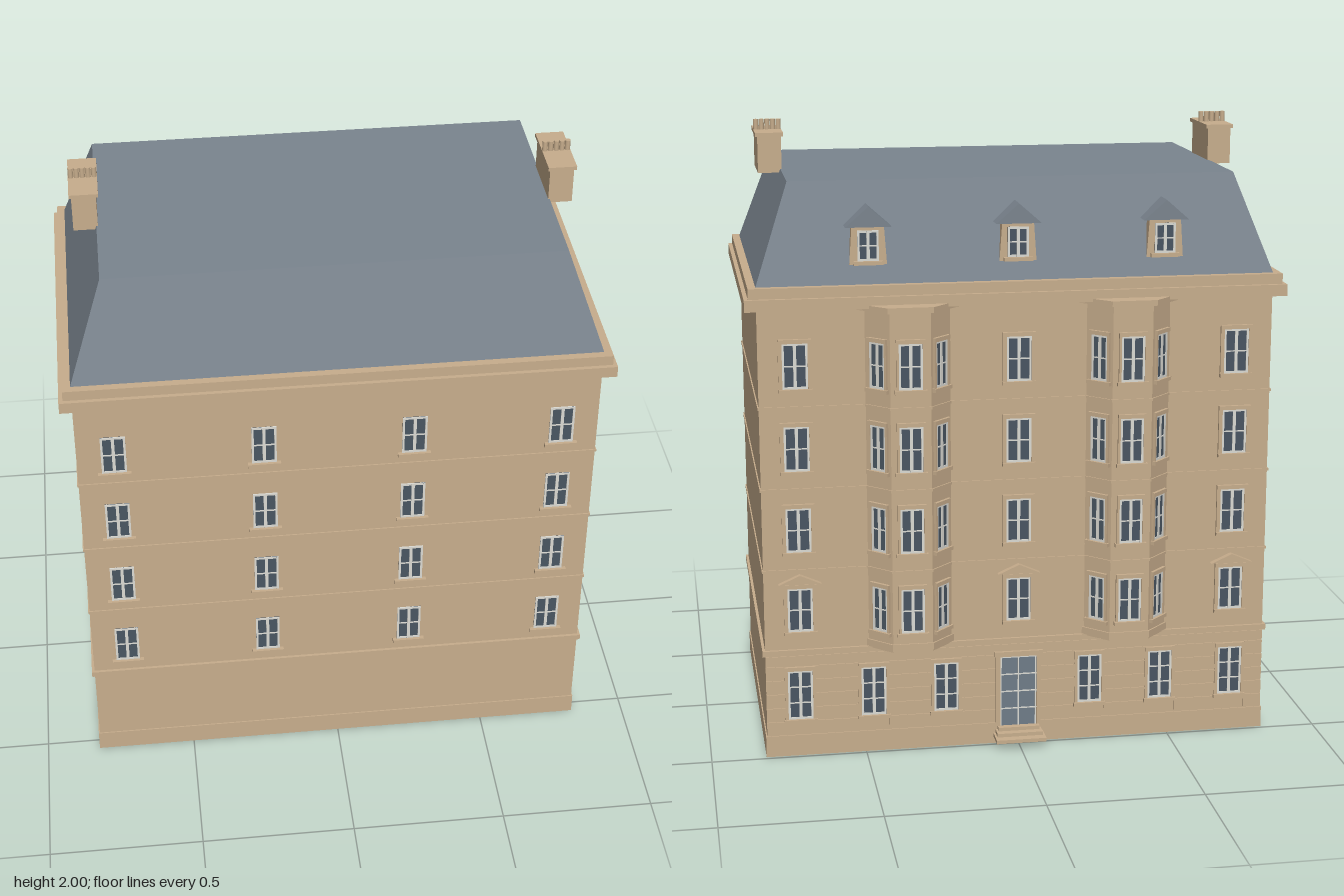
import * as THREE from 'three';

const mat = (name, color) => {
  const m = new THREE.MeshStandardMaterial({ color });
  m.name = name;
  return m;
};

export function createModel() {
  const stone = mat('stone', 0xc8ae8d);
  const slate = mat('slate', 0x7b858f);
  const glass = mat('glass', 0x4a5662);
  const white = mat('window frame', 0xdcdbd4);
  const doorPaint = mat('door paint', 0x707d89);

  const model = new THREE.Group();
  model.name = 'townhouse';

  const add = (parent, name, geometry, material) => {
    const mesh = new THREE.Mesh(geometry, material);
    mesh.name = name;
    parent.add(mesh);
    return mesh;
  };
  // Box given by its low and high corners
  const box = (parent, name, material, [x0, y0, z0], [x1, y1, z1]) => {
    const g = new THREE.BoxGeometry(x1 - x0, y1 - y0, z1 - z0);
    g.translate((x0 + x1) / 2, (y0 + y1) / 2, (z0 + z1) / 2);
    return add(parent, name, g, material);
  };
  const group = (name, x, y, z, turn = 0) => {
    const g = new THREE.Group();
    g.name = name;
    g.position.set(x, y, z);
    g.rotation.y = turn;
    model.add(g);
    return g;
  };
  const prism = (points, depth) => new THREE.ExtrudeGeometry(
    new THREE.Shape(points.map(p => new THREE.Vector2(...p))), { depth, bevelEnabled: false });

  // Outer walls and the mouldings that run round them
  const X = 0.82, BACK = -0.485, FRONT = 0.535;
  const ring = (name, y0, y1, out) => box(model, name, stone,
    [-X - out, y0, BACK - out], [X + out, y1, FRONT + out]);
  ring('walls', 0, 1.5, 0);
  ring('plinth', 0, 0.07, 0.004);
  ring('mainStringCourse', 0.343, 0.362, 0.009);
  for (const y of [0.622, 0.888, 1.153]) ring('stringCourse', y, y + 0.008, 0.004);
  ring('lowerCornice', 1.47, 1.507, 0.038);
  ring('upperCornice', 1.507, 1.54, 0.025);

  // Mansard roof: a box whose top is drawn in
  const roof = new THREE.BoxGeometry(2 * X, 0.31, FRONT - BACK);
  const rp = roof.attributes.position;
  for (let i = 0; i < rp.count; i++) {
    if (rp.getY(i) > 0) rp.setXYZ(i, Math.sign(rp.getX(i)) * 0.71, rp.getY(i), Math.sign(rp.getZ(i)) * 0.403);
  }
  roof.computeVertexNormals();
  roof.translate(0, 1.695, 0.025);
  add(model, 'mansardRoof', roof, slate);

  // Chimneys with a row of pots
  for (const s of [-1, 1]) {
    const c = group('chimney', s * 0.743, 0, 0.025);
    box(c, 'chimneyStack', stone, [-0.038, 1.838, -0.103], [0.038, 1.957, 0.103]);
    box(c, 'chimneyCap', stone, [-0.045, 1.955, -0.11], [0.045, 1.967, 0.11]);
    for (let i = -2; i <= 2; i++) {
      const pot = new THREE.CylinderGeometry(0.0085, 0.0085, 0.035, 10);
      add(c, 'chimneyPot', pot.translate(i * 0.018, 1.9825, 0), stone);
    }
  }

  // Window facing +z, standing on the origin, with optional stone surround
  const makeWindow = (g, w, h, rows, { surround = 0, sill = true } = {}) => {
    const a = w / 2, t = 0.007;
    box(g, 'windowGlass', glass, [-a, 0, -0.002], [a, h, 0.002]);
    for (const s of [-1, 1]) {
      box(g, 'frameSide', white, [s * (a - t / 2) - t / 2, 0, -0.001], [s * (a - t / 2) + t / 2, h, 0.005]);
    }
    box(g, 'centreMullion', white, [-0.005, 0, -0.001], [0.005, h, 0.005]);
    for (let i = 0; i <= rows; i++) {
      const bar = i === 0 || i === rows ? t : 0.004;
      const y = bar / 2 + (h - bar) * i / rows;
      box(g, 'frameBar', white, [-a, y - bar / 2, -0.001], [a, y + bar / 2, 0.0045]);
    }
    if (sill) box(g, 'sill', stone, [-a - 0.013, -0.012, -0.002], [a + 0.013, 0, 0.014]);
    if (surround) {
      for (const s of [-1, 1]) {
        const e = s * (a + surround / 2);
        box(g, 'jamb', stone, [e - surround / 2, 0, -0.002], [e + surround / 2, h, 0.008]);
      }
      box(g, 'lintel', stone, [-a - surround, h, -0.002], [a + surround, h + 0.013, 0.01]);
    }
  };

  // Plain side: four windows on each of four floors
  const floors = [0, 1, 2, 3].map(i => 0.407 + i * 0.265);
  for (const y of floors) {
    for (const x of [-0.705, -0.237, 0.237, 0.705]) {
      makeWindow(group('plainWindow', x, y, FRONT), 0.078, 0.137, 2);
    }
  }

  // Street side: upper windows, with pediments on the lowest of them
  floors.forEach((y, level) => {
    for (const x of [-0.705, 0, 0.705]) {
      const g = group('streetWindow', x, y + 0.015, BACK, Math.PI);
      makeWindow(g, 0.08, 0.145, 2, { surround: 0.012 });
      if (level === 0) {
        const tri = prism([[-0.068, 0], [0.068, 0], [0, 0.03]], 0.022);
        add(g, 'pediment', tri.translate(0, 0.162, -0.002), stone);
      }
    }
  });

  // Three-sided bays rising through all upper floors
  const bayPlan = (f, z) => [[-f - (z - 0.48), 0.48], [f + (z - 0.48), 0.48], [f, z], [-f, z]];
  const bayPart = (parent, name, f, z, y0, y1) =>
    add(parent, name, prism(bayPlan(f, z), y1 - y0).rotateX(-Math.PI / 2).translate(0, y0, 0), stone);
  for (const s of [-1, 1]) {
    const x = s * 0.352;
    const bay = group('bay', x, 0, 0);
    bayPart(bay, 'bayWalls', 0.064, 0.555, 0.357, 1.465);
    bayPart(bay, 'bayBase', 0.066, 0.56, 0.362, 0.385);
    for (const y of [0.622, 0.888, 1.153]) bayPart(bay, 'bayString', 0.066, 0.559, y, y + 0.008);
    bayPart(bay, 'bayCap', 0.072, 0.575, 1.462, 1.48);
    for (const y of floors) {
      makeWindow(group('bayWindow', x, y + 0.015, -0.555, Math.PI), 0.075, 0.147, 2, { surround: 0.008 });
      for (const side of [-1, 1]) {
        makeWindow(group('baySideWindow', x + side * 0.098, y + 0.015, -0.521, Math.PI - side * Math.PI / 4),
          0.06, 0.147, 2, { surround: 0.008 });
      }
    }
  }

  // Ground floor: coursed stone between the openings
  const openings = [-0.71, -0.473, -0.237, 0, 0.237, 0.473, 0.71];
  const edges = [-X, ...openings.flatMap(x => {
    const half = x === 0 ? 0.075 : 0.05;
    return [x - half, x + half];
  }), X];
  for (let row = 0; row < 5; row++) {
    const y = 0.075 + row * 0.047;
    for (let i = 0; i < edges.length; i += 2) {
      box(model, 'stoneCourse', stone, [edges[i], y, BACK - 0.004], [edges[i + 1], y + 0.042, BACK + 0.004]);
    }
  }
  box(model, 'topCourse', stone, [-X, 0.312, BACK - 0.004], [X, 0.34, BACK + 0.004]);
  for (const x of openings.filter(v => v !== 0)) {
    makeWindow(group('groundWindow', x, 0.125, BACK, Math.PI), 0.08, 0.165, 3, { surround: 0.01 });
  }

  // Entrance door with glazing bars, surround and steps
  const door = group('entrance', 0, 0.06, BACK, Math.PI);
  box(door, 'doorLeaf', doorPaint, [-0.06, 0, -0.002], [0.06, 0.24, 0.005]);
  for (const x of [-0.057, 0, 0.057]) {
    box(door, 'doorUpright', white, [x - 0.002, 0, 0], [x + 0.002, 0.24, 0.007]);
  }
  for (let i = 1; i <= 4; i++) {
    box(door, 'doorRail', white, [-0.06, i * 0.059 - 0.002, 0], [0.06, i * 0.059 + 0.002, 0.007]);
  }
  for (const s of [-1, 1]) {
    box(door, 'doorJamb', stone, [s * 0.067 - 0.007, 0, -0.002], [s * 0.067 + 0.007, 0.24, 0.01]);
  }
  box(door, 'doorLintel', stone, [-0.08, 0.24, -0.002], [0.08, 0.257, 0.014]);
  [[0.082, 0.075], [0.075, 0.048], [0.068, 0.026]].forEach(([w, d], i) => {
    box(door, 'step', stone, [-w, -0.036 + i * 0.012, -0.005], [w, -0.024 + i * 0.012, d]);
  });

  // Dormers in the street slope of the roof
  for (const x of [-0.47, 0, 0.47]) {
    const d = group('dormer', x, 0, -0.465, Math.PI);
    const cheek = prism([[-0.06, 1.58], [0.06, 1.58], [0.05, 1.722], [-0.05, 1.722]], 0.06);
    add(d, 'dormerBody', cheek.translate(0, 0, -0.06), stone);
    const gable = prism([[-0.072, 1.717], [0.072, 1.717], [0, 1.78]], 0.08);
    add(d, 'dormerRoof', gable.translate(0, 0, -0.062), slate);
    const w = new THREE.Group();
    w.name = 'dormerWindow';
    w.position.set(0, 1.61, 0);
    d.add(w);
    makeWindow(w, 0.066, 0.095, 2);
  }

  return model;
}
